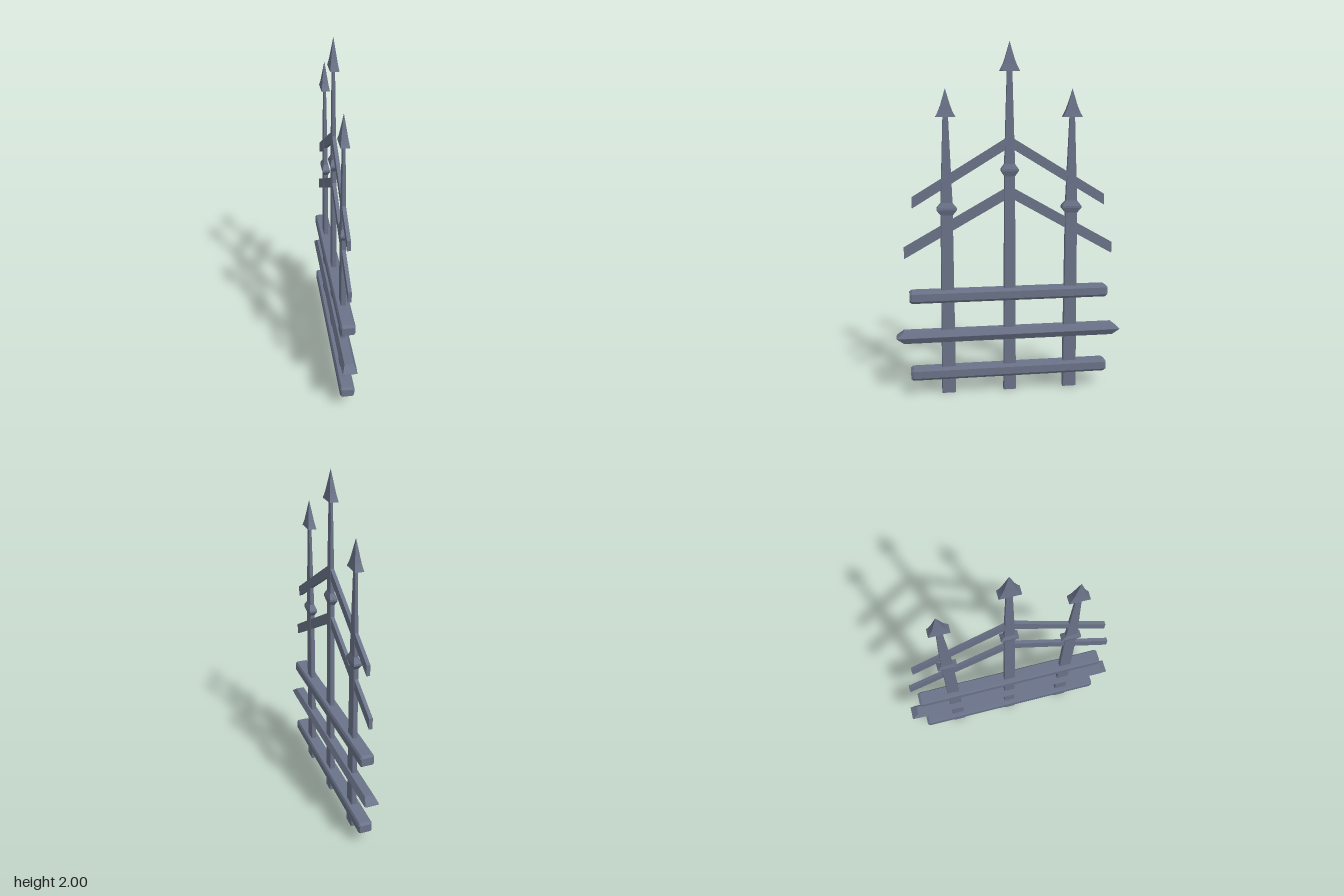
import * as THREE from 'three';

// Eight-cornered ring: rectangle of half sizes a, b with corners cut by ca, cb
function ring(a, b, ca = 0, cb = 0) {
  return [[a, -b + cb], [a, b - cb], [a - ca, b], [-a + ca, b],
    [-a, b - cb], [-a, -b + cb], [-a + ca, -b], [a - ca, -b]];
}

// Faceted solid along y through sections [y, ring], capped at both ends
function loft(sections) {
  const pos = [];
  const at = (s, i) => { const p = s[1][i % 8]; return [p[0], s[0], p[1]]; };
  const tri = (a, b, c) => pos.push(...a, ...b, ...c);
  for (let s = 0; s < sections.length - 1; s++) {
    const lo = sections[s], hi = sections[s + 1];
    for (let i = 0; i < 8; i++) {
      tri(at(lo, i), at(hi, i), at(hi, i + 1));
      tri(at(lo, i), at(hi, i + 1), at(lo, i + 1));
    }
  }
  const first = sections[0], last = sections[sections.length - 1];
  for (let i = 1; i < 7; i++) {
    tri(at(first, 0), at(first, i), at(first, i + 1));
    tri(at(last, 0), at(last, i + 1), at(last, i));
  }
  const g = new THREE.BufferGeometry();
  g.setAttribute('position', new THREE.Float32BufferAttribute(pos, 3));
  g.computeVertexNormals();
  return g;
}

export function createModel() {
  const model = new THREE.Group();
  model.name = 'ironFence';
  const iron = new THREE.MeshStandardMaterial({ color: 0x6b7389 });
  iron.name = 'blue grey iron';

  const add = (name, geometry, parent = model) => {
    const mesh = new THREE.Mesh(geometry, iron);
    mesh.name = name;
    parent.add(mesh);
    return mesh;
  };

  // Post: shaft, collar, tapering upper shaft and flared spear head
  function post(name, z, half, collarY, collarHalf, headY, tipY) {
    const g = new THREE.Group();
    g.name = name;
    g.position.z = z;
    model.add(g);
    const sec = (y, hx, hz) => [y, ring(hx, hz, hx * 0.25, hx * 0.25)];
    const sharp = (y, hx, hz) => [y, ring(hx, hz)];
    add('shaft', loft([
      sec(0, 0.017, half), sec(0.25, 0.015, half - 0.001), sec(collarY, 0.013, half - 0.006),
    ]), g);
    add('collar', loft([
      sharp(collarY - 0.035, 0.013, half - 0.006),
      sharp(collarY - 0.006, 0.022, collarHalf),
      sharp(collarY + 0.006, 0.022, collarHalf),
      sharp(collarY + 0.035, 0.013, half - 0.007),
    ]), g);
    add('upperShaft', loft([
      sec(collarY, 0.013, half - 0.005), sec(headY + 0.01, 0.007, 0.015),
    ]), g);
    const h = tipY - headY;
    add('spearHead', loft([
      sharp(headY, 0.024, 0.056), sharp(headY + h * 0.1, 0.021, 0.047),
      sharp(headY + h * 0.25, 0.017, 0.036), sharp(headY + h * 0.45, 0.013, 0.025),
      sharp(tipY, 0.0005, 0.0005),
    ]), g);
  }
  post('centrePost', 0, 0.036, 1.295, 0.049, 1.84, 2);
  for (const side of [1, -1]) {
    post(side > 0 ? 'frontPost' : 'backPost', side * 0.357, 0.04, 1.08, 0.056, 1.59, 1.745);
  }

  // Rails with bevelled edges and ends
  const rail = (name, y, sections) => {
    const mesh = add(name, loft(sections).rotateX(Math.PI / 2));
    mesh.position.y = y;
  };
  const beam = ring(0.041, 0.034, 0.008, 0.013);
  const beamEnd = ring(0.035, 0.024, 0.006, 0.008);
  for (const [name, y] of [['lowerRail', 0.125], ['upperRail', 0.581]]) {
    rail(name, y, [[-0.575, beamEnd], [-0.56, beam], [0.56, beam], [0.575, beamEnd]]);
  }

  // Middle rail: six-sided, ending in wedges
  const hex = ring(0.042, 0.035, 0.017, 0.034);
  const wedge = ring(0.04, 0.001);
  rail('middleRail', 0.346, [[-0.652, wedge], [-0.61, hex], [0.61, hex], [0.652, wedge]]);

  // Sloping gable bars
  function gable(name, reach, eaveY, ridgeY, thick) {
    const shape = new THREE.Shape([
      [-reach, eaveY - thick], [0, ridgeY - thick], [reach, eaveY - thick],
      [reach, eaveY], [0, ridgeY], [-reach, eaveY],
    ].map(([x, y]) => new THREE.Vector2(x, y)));
    const g = new THREE.ExtrudeGeometry(shape, { depth: 0.02, bevelEnabled: false });
    add(name, g.translate(0, 0, -0.01).rotateY(-Math.PI / 2));
  }
  gable('upperGable', 0.55, 1.15, 1.485, 0.062);
  gable('lowerGable', 0.6, 0.867, 1.205, 0.065);

  return model;
}
